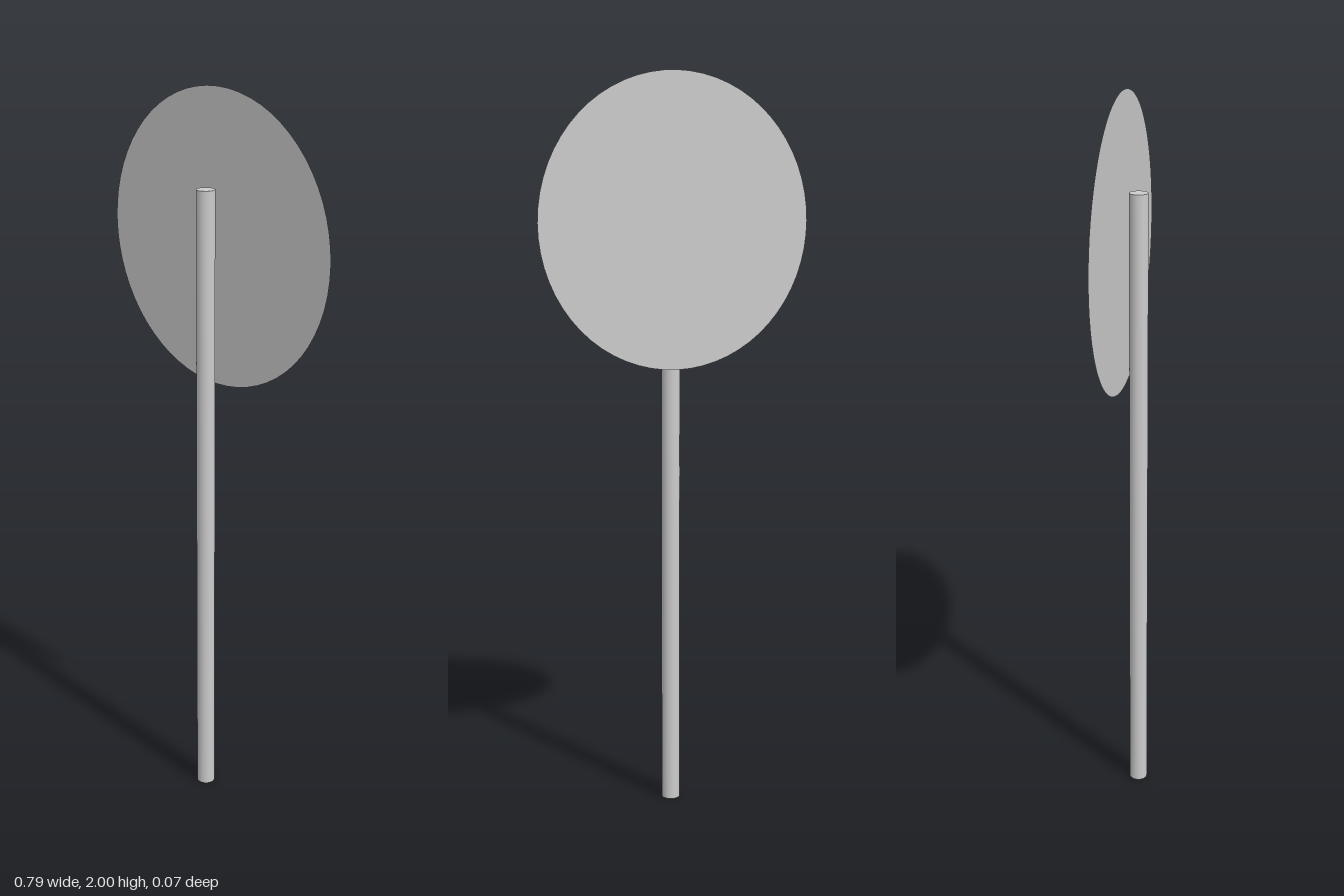
import * as THREE from 'three';

export function createModel() {
  const model = new THREE.Group();
  model.name = 'roundSign';

  const add = (name, geometry, side, x, y, z) => {
    const material = new THREE.MeshStandardMaterial({ color: 0xcccccc, side });
    const mesh = new THREE.Mesh(geometry, material);
    mesh.name = name;
    mesh.position.set(x, y, z);
    model.add(mesh);
  };

  // Upright round post, capped at both ends
  const postHeight = 1.745;
  add('post', new THREE.CylinderGeometry(0.025, 0.025, postHeight, 32),
    THREE.FrontSide, 0, postHeight / 2, 0.008);

  // Thin round plate just behind the post
  const plateRadius = 0.393;
  add('signPlate', new THREE.CircleGeometry(plateRadius, 64),
    THREE.DoubleSide, 0, 2 - plateRadius, -0.034);

  return model;
}
